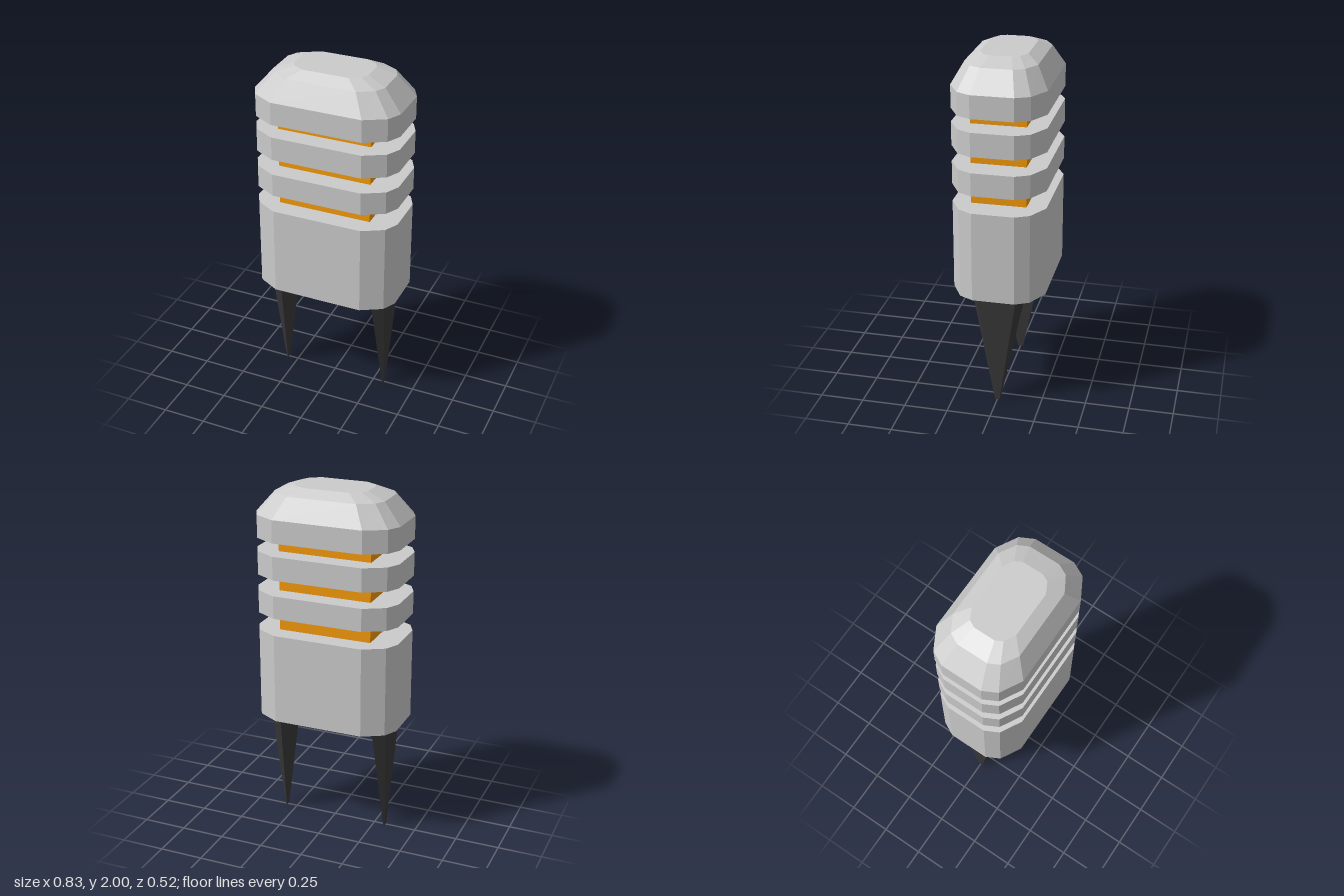
import * as THREE from 'three';

const grey = new THREE.MeshStandardMaterial({ color: 0xcccccc, flatShading: true });
const amber = new THREE.MeshStandardMaterial({ color: 0xf59a0a, flatShading: true });
const black = new THREE.MeshStandardMaterial({ color: 0x383838, flatShading: true });

// Closed solid through stacked rings of [x, y, z], listed bottom to top,
// each ring running counter-clockwise as seen from above.
function loft(rings) {
  const n = rings[0].length, last = rings.length - 1, index = [];
  for (let r = 0; r < last; r++) {
    for (let i = 0; i < n; i++) {
      const j = (i + 1) % n, a = r * n + i, b = r * n + j;
      index.push(a, b, b + n, a, b + n, a + n);
    }
  }
  for (let i = 1; i < n - 1; i++) {
    index.push(0, i + 1, i);
    index.push(last * n, last * n + i, last * n + i + 1);
  }
  const geometry = new THREE.BufferGeometry();
  geometry.setAttribute('position', new THREE.Float32BufferAttribute(rings.flat(2), 3));
  geometry.setIndex(index);
  const flat = geometry.toNonIndexed();
  flat.computeVertexNormals();
  return flat;
}

// Twelve-sided outline, mirrored from the three corners of one quarter
function outline(y, corners) {
  const back = corners.map(([x, z]) => [x, y, -z]);
  const half = [...back, ...back.map(([x, , z]) => [-x, y, z]).reverse()];
  return [...half, ...half.map(([x, , z]) => [-x, y, -z])];
}

const OUTER = [[0.415, 0.117], [0.375, 0.195], [0.257, 0.26]];
const SHOULDER = [[0.315, 0.087], [0.285, 0.146], [0.197, 0.196]];
const CROWN = [[0.21, 0.059], [0.19, 0.098], [0.13, 0.13]];

// Tapered spike section: narrower on its outer side
function spikeRing(y, halfX, outerZ, innerZ) {
  const x = 0.315;
  return [
    [x + halfX, y, outerZ], [x + halfX, y, -outerZ],
    [x - halfX, y, -innerZ], [x - halfX, y, innerZ],
  ];
}

export function createModel() {
  const model = new THREE.Group();
  const add = (name, geometry, material) => {
    const mesh = new THREE.Mesh(geometry, material);
    mesh.name = name;
    model.add(mesh);
    return mesh;
  };

  // Housing and the two louvre rings
  const slab = (y0, y1) => loft([outline(y0, OUTER), outline(y1, OUTER)]);
  add('base', slab(0.675, 1.19), grey);
  add('lowerLouvre', slab(1.29, 1.42), grey);
  add('upperLouvre', slab(1.51, 1.643), grey);

  // Bevelled cap
  add('cap', loft([
    outline(1.717, OUTER), outline(1.845, OUTER),
    outline(1.962, SHOULDER), outline(2, CROWN),
  ]), grey);

  // Glowing core seen between the louvres
  const core = add('lightCore', new THREE.BoxGeometry(0.536, 0.56, 0.306), amber);
  core.position.y = 1.455;

  // Ground spikes
  const spike = loft([spikeRing(0, 0.004, 0.012, 0.016), spikeRing(0.675, 0.035, 0.115, 0.153)]);
  add('leftSpike', spike, black);
  add('rightSpike', spike, black).rotation.y = Math.PI;

  return model;
}
